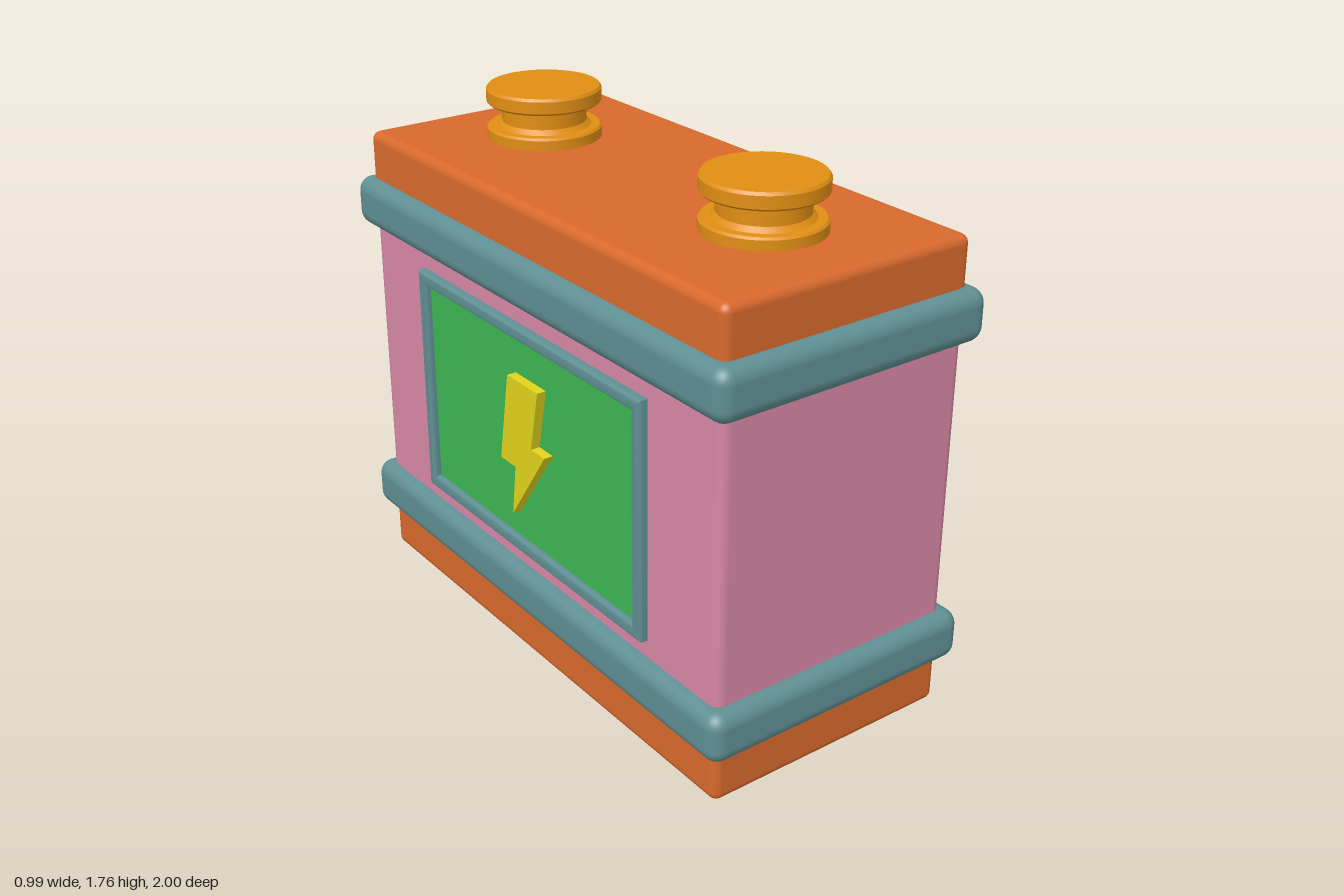
import * as THREE from 'three';
import { RoundedBoxGeometry } from 'three/addons/geometries/RoundedBoxGeometry.js';
import { toCreasedNormals } from 'three/addons/utils/BufferGeometryUtils.js';

const mat = (color) => new THREE.MeshStandardMaterial({ color });
const orange = mat(0xd8692d), pink = mat(0xd687a5), teal = mat(0x5f8f93);
const gold = mat(0xe08e13), green = mat(0x3cb653), yellow = mat(0xe0d41c);

export function createModel() {
  const model = new THREE.Group();
  model.name = 'battery';

  const add = (name, geometry, material, x = 0, y = 0, z = 0) => {
    const mesh = new THREE.Mesh(geometry, material);
    mesh.name = name;
    mesh.position.set(x, y, z);
    model.add(mesh);
    return mesh;
  };

  // Rounded block given by its bottom and top heights
  const block = (name, w, d, y0, y1, radius, material) =>
    add(name, new RoundedBoxGeometry(w, y1 - y0, d, 4, radius), material, 0, (y0 + y1) / 2, 0);

  // Case: base, body, lid and the two bands covering the seams
  block('base', 0.9, 1.9, 0, 0.26, 0.03, orange);
  block('body', 0.9, 1.9, 0.2, 1.4, 0.035, pink);
  block('lid', 0.9, 1.9, 1.34, 1.59, 0.03, orange);
  block('lowerBand', 0.99, 2, 0.17, 0.34, 0.05, teal);
  block('upperBand', 0.99, 2, 1.26, 1.43, 0.05, teal);

  // Terminals: spool profile turned around y
  const spool = [
    [0, 0], [0.19, 0], [0.19, 0.033], [0.183, 0.04], [0.155, 0.04], [0.14, 0.055],
    [0.14, 0.115], [0.183, 0.115], [0.19, 0.122], [0.19, 0.161], [0.183, 0.17], [0, 0.17],
  ].map(([r, y]) => new THREE.Vector2(r, y));
  const terminal = toCreasedNormals(new THREE.LatheGeometry(spool, 48), 0.6);
  add('frontTerminal', terminal, gold, 0, 1.59, 0.565);
  add('backTerminal', terminal, gold, 0, 1.59, -0.565);

  // Side panel parts are drawn as (z, y) shapes and extruded towards -x
  const sidePart = (name, shape, depth, bevel, material, x) => {
    const geometry = new THREE.ExtrudeGeometry(shape, {
      depth: depth - bevel, bevelEnabled: bevel > 0, bevelThickness: bevel,
      bevelSize: bevel, bevelOffset: -bevel, bevelSegments: 3,
    });
    geometry.rotateY(-Math.PI / 2);
    add(name, toCreasedNormals(geometry, 0.6), material, x, 0, 0);
  };
  const rectangle = (Type, w, y0, y1) => new Type([
    new THREE.Vector2(-w, y0), new THREE.Vector2(w, y0),
    new THREE.Vector2(w, y1), new THREE.Vector2(-w, y1),
  ]);

  const frame = rectangle(THREE.Shape, 0.62, 0.4, 1.2);
  frame.holes.push(rectangle(THREE.Path, 0.575, 0.445, 1.155));
  sidePart('panelFrame', frame, 0.04, 0.012, teal, -0.44);
  sidePart('panel', rectangle(THREE.Shape, 0.6, 0.42, 1.18), 0.02, 0, green, -0.438);

  // Lightning bolt on the panel
  const bolt = new THREE.Shape([
    [-0.06, 1.03], [0.11, 1.03], [0.065, 0.82], [0.14, 0.82],
    [-0.055, 0.54], [-0.03, 0.72], [-0.115, 0.72],
  ].map(([z, y]) => new THREE.Vector2(z, y)));
  sidePart('boltSymbol', bolt, 0.04, 0, yellow, -0.45);

  return model;
}
